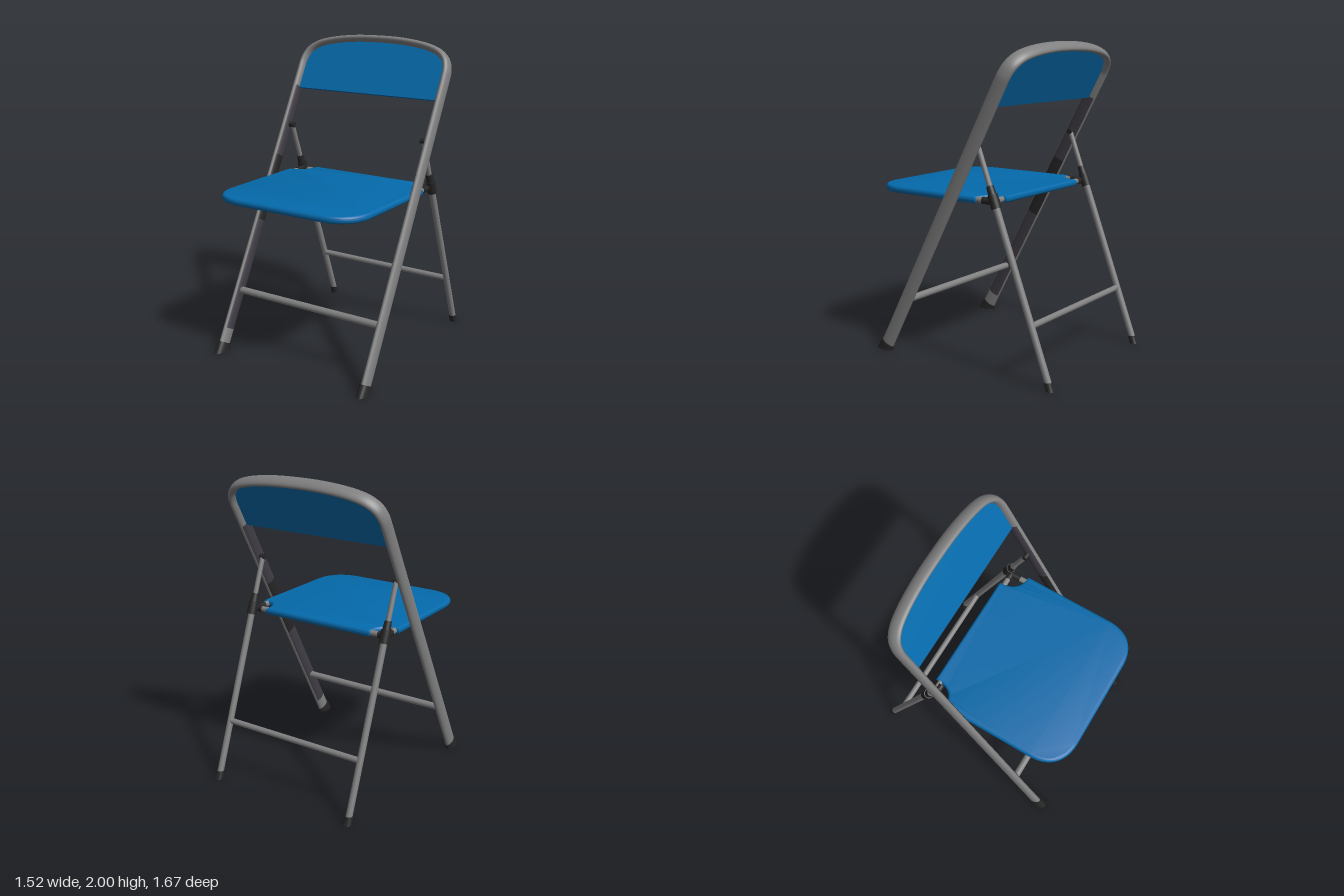
import * as THREE from 'three';
import { toCreasedNormals } from 'three/addons/utils/BufferGeometryUtils.js';

function flat(name, color) {
  const material = new THREE.MeshStandardMaterial({ color });
  material.name = name;
  return material;
}
const steel = flat('steelGrey', 0x808080);
const blue = flat('seatBlue', 0x046aab);
const rubber = flat('rubberBlack', 0x262626);
const inner = flat('innerDarkGrey', 0x403d45);

const V = (x, y, z) => new THREE.Vector3(x, y, z);
const LEAN = THREE.MathUtils.degToRad(28.2); // backward lean of the front frame
const HALF = 0.548; // half width of the front frame

function add(parent, name, geometry, material) {
  const mesh = new THREE.Mesh(geometry, material);
  mesh.name = name;
  parent.add(mesh);
  return mesh;
}

// Round bar between two points
function bar(parent, name, a, b, r, material, rEnd = r) {
  const dir = b.clone().sub(a);
  const mesh = add(parent, name, new THREE.CylinderGeometry(rEnd, r, dir.length(), 20), material);
  mesh.position.copy(a).add(b).multiplyScalar(0.5);
  mesh.quaternion.setFromUnitVectors(V(0, 1, 0), dir.normalize());
  return mesh;
}

// Oval tube swept along a path in the xy plane: rIn across the path, rOut along z.
// innerMaterial(y) picks the material index of the side facing the path's right.
function ovalSweep(path, rIn, rOut, innerMaterial, sides = 24) {
  const pos = [], faces = [[], [], []];
  path.forEach((p, i) => {
    const t = path[Math.min(i + 1, path.length - 1)].clone().sub(path[Math.max(i - 1, 0)]).normalize();
    for (let j = 0; j < sides; j++) {
      const a = (j / sides) * Math.PI * 2;
      const c = Math.cos(a) * rIn;
      pos.push(p.x + t.y * c, p.y - t.x * c, Math.sin(a) * rOut);
      if (i === 0) continue;
      const k = (j + 1) % sides, lo = (i - 1) * sides, hi = i * sides;
      const facesIn = Math.cos(((j + 0.5) / sides) * Math.PI * 2) > 0.5;
      const slot = facesIn ? innerMaterial((p.y + path[i - 1].y) / 2) : 0;
      faces[slot].push(lo + j, hi + j, lo + k, lo + k, hi + j, hi + k);
    }
  });
  const g = new THREE.BufferGeometry();
  g.setAttribute('position', new THREE.Float32BufferAttribute(pos, 3));
  g.setIndex(faces.flat());
  let start = 0;
  faces.forEach((f, slot) => {
    g.addGroup(start, f.length, slot);
    start += f.length;
  });
  g.computeVertexNormals();
  return g;
}

// Arched top of the frame, as a curve from left to right
function archPoints(inset) {
  const half = [[0.548, 1.99], [0.545, 2.055], [0.522, 2.12], [0.467, 2.169], [0.37, 2.203], [0.195, 2.229]];
  const pts = [
    ...half.map(([x, y]) => V(-x, y, 0)),
    V(0, 2.236, 0),
    ...half.slice().reverse().map(([x, y]) => V(x, y, 0)),
  ];
  const k = (HALF - inset) / HALF;
  return new THREE.CatmullRomCurve3(pts).getPoints(72).map((p) => V(p.x * k, p.y - inset, 0));
}

function buildFrontFrame() {
  const frame = new THREE.Group();
  frame.name = 'frontFrame';
  frame.position.z = 0.612;
  frame.rotation.x = -LEAN;

  // Oval tube hoop: legs and back in one piece, dark on the inner faces of the legs
  const stops = [0.03, 0.15, 0.9, 1.36, 1.86];
  const path = [
    ...stops.map((y) => V(-HALF, y, 0)),
    ...archPoints(0),
    ...stops.slice().reverse().map((y) => V(HALF, y, 0)),
  ];
  const innerMaterial = (y) => {
    if (y < 0.15 || y > 1.86) return 0;
    return y > 0.9 && y < 1.36 ? 1 : 2;
  };
  add(frame, 'frameTube', ovalSweep(path, 0.024, 0.047, innerMaterial), [steel, rubber, inner]);

  // Back panel filling the top of the hoop
  const shape = new THREE.Shape();
  shape.moveTo(-0.534, 1.852);
  shape.lineTo(0.534, 1.852);
  archPoints(0.014).reverse().forEach((p) => shape.lineTo(p.x, p.y));
  const panel = new THREE.ExtrudeGeometry(shape, { depth: 0.02, bevelEnabled: false });
  panel.translate(0, 0, -0.01);
  add(frame, 'backPanel', panel, blue);

  // Rubber feet, cut level with the floor
  for (const side of [-1, 1]) {
    let foot = new THREE.CylinderGeometry(1, 1.08, 0.1, 28);
    foot.scale(0.032, 1, 0.054);
    const p = foot.attributes.position;
    for (let i = 0; i < p.count; i++) {
      p.setY(i, p.getY(i) < 0 ? -Math.tan(LEAN) * p.getZ(i) : 0.055);
    }
    foot = toCreasedNormals(foot, 0.6);
    add(frame, 'frontFoot', foot, rubber).position.x = side * HALF;
  }
  return frame;
}

function buildSeat() {
  // Plan outline: x across, y towards the front, with a notch at each rear corner
  const s = new THREE.Shape();
  s.moveTo(-0.395, -0.268);
  s.lineTo(0.395, -0.268);
  s.bezierCurveTo(0.395, -0.18, 0.43, -0.125, 0.523, -0.125);
  s.lineTo(0.523, 0.49);
  s.bezierCurveTo(0.523, 0.61, 0.46, 0.705, 0.31, 0.712);
  s.lineTo(-0.31, 0.712);
  s.bezierCurveTo(-0.46, 0.705, -0.523, 0.61, -0.523, 0.49);
  s.lineTo(-0.523, -0.125);
  s.bezierCurveTo(-0.43, -0.125, -0.395, -0.18, -0.395, -0.268);
  const g = new THREE.ExtrudeGeometry(s, {
    depth: 0.005, bevelThickness: 0.02, bevelSize: 0.02, bevelOffset: -0.02, bevelSegments: 5, curveSegments: 16,
  });
  g.rotateX(Math.PI / 2);
  g.translate(0, 1.0725, 0);
  return toCreasedNormals(g, 0.6);
}

function buildRearLegs() {
  const rear = new THREE.Group();
  rear.name = 'rearLegs';
  const at = (x, y) => V(x, y, -0.667 + 0.376 * y); // point on a rear leg at height y

  for (const side of [-1, 1]) {
    const x = side * 0.507;
    bar(rear, 'rearLeg', at(x, 0.02), at(x, 1.1), 0.021, steel);
    bar(rear, 'upperLink', at(x, 1.1), at(x, 1.4), 0.016, steel);
    bar(rear, 'linkPivot', V(side * 0.488, 1.395, -0.142), V(side * 0.535, 1.395, -0.142), 0.018, rubber);

    // Level-cut rubber foot
    let foot = new THREE.CylinderGeometry(0.025, 0.028, 0.05, 20);
    const p = foot.attributes.position;
    for (let i = 0; i < p.count; i++) p.setZ(i, p.getZ(i) + 0.376 * p.getY(i));
    foot = toCreasedNormals(foot, 0.6);
    add(rear, 'rearFoot', foot, rubber).position.copy(at(x, 0.025));

    // Hinge sleeve with two stubs reaching into the seat corner
    bar(rear, 'hingeSleeve', at(x, 1.035), at(x, 1.115), 0.031, rubber);
    bar(rear, 'hingeCollar', at(x, 1.115), at(x, 1.165), 0.026, rubber, 0.022);
    const z = -0.235, y = 1.07;
    bar(rear, 'sideStub', V(side * 0.49, y, -0.26), V(side * 0.49, y, -0.165), 0.022, rubber);
    bar(rear, 'sideStubTube', V(side * 0.49, y, -0.17), V(side * 0.49, y, -0.1), 0.018, steel);
    bar(rear, 'crossStub', V(side * 0.5, y, z), V(side * 0.445, y, z), 0.022, rubber);
    bar(rear, 'crossStubTube', V(side * 0.45, y, z), V(side * 0.38, y, z), 0.018, steel);
  }
  bar(rear, 'rearRail', at(-0.507, 0.365), at(0.507, 0.365), 0.019, steel);
  return rear;
}

export function createModel() {
  const model = new THREE.Group();
  model.name = 'foldingChair';
  const chair = new THREE.Group();
  chair.name = 'chair';
  chair.rotation.y = -THREE.MathUtils.degToRad(21.5);
  chair.position.set(0.014, 0, 0.005);
  model.add(chair);

  chair.add(buildFrontFrame(), buildRearLegs());
  add(chair, 'seat', buildSeat(), blue);
  bar(chair, 'frontRail', V(-0.528, 0.365, 0.416), V(0.528, 0.365, 0.416), 0.023, steel);
  return model;
}
